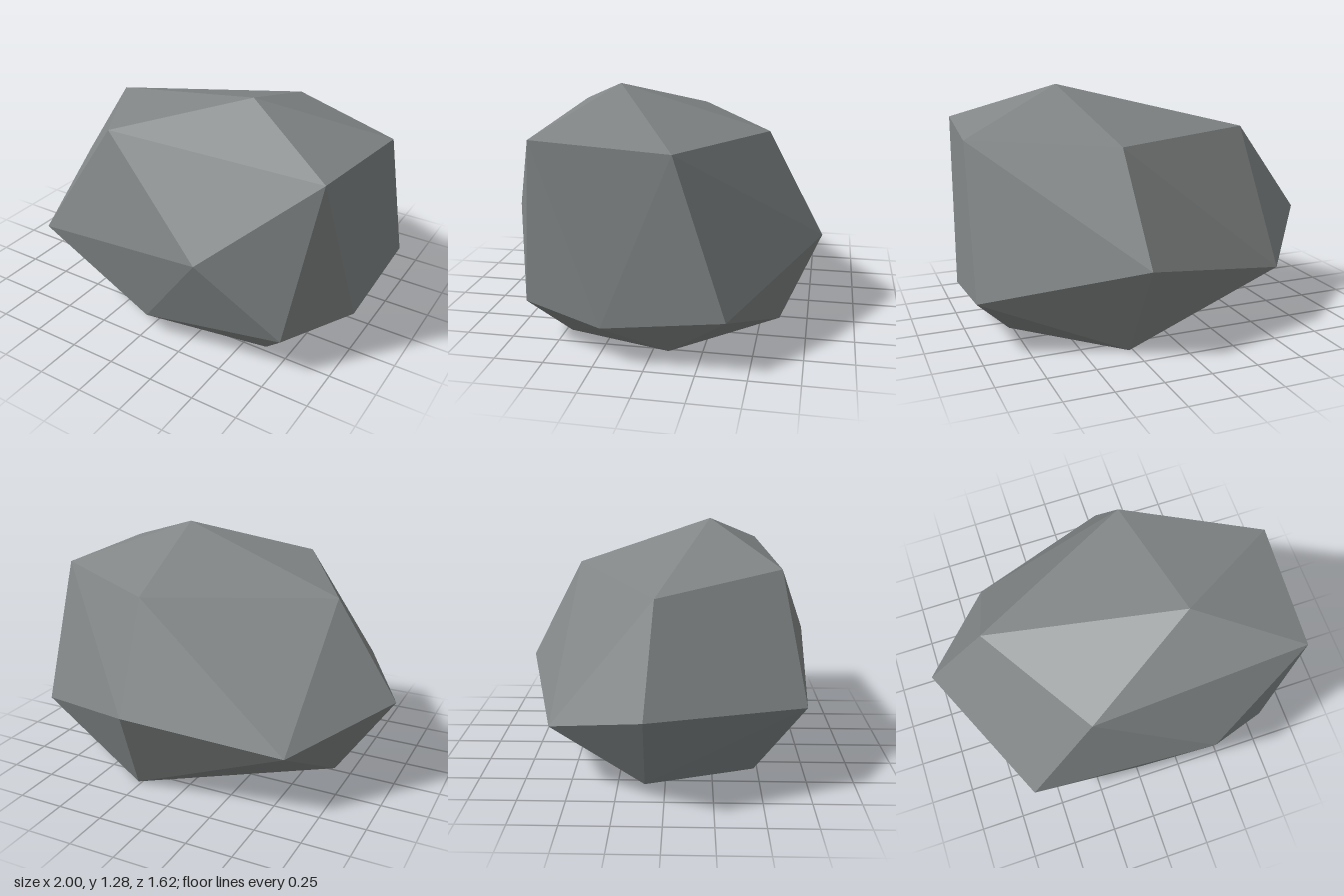
import * as THREE from 'three';
import { ConvexGeometry } from 'three/addons/geometries/ConvexGeometry.js';

export function createModel() {
  const group = new THREE.Group();
  group.name = 'boulder';

  const stone = new THREE.MeshStandardMaterial({ color: 0x828686 });
  stone.name = 'stone grey';
  stone.flatShading = true;

  // Corners of the faceted rock, ring by ring
  const corners = [
    // peak
    [0.38, 1.285, 0.24],
    // shoulder ring
    [-0.25, 1.1, 0.61], [0.93, 1.09, 0.55], [0.98, 1.06, -0.14], [0.27, 1.04, -0.52], [-0.65, 1.03, -0.05],
    // widest ring
    [-1, 0.525, -0.09], [-0.63, 0.47, 0.72], [0.39, 0.615, 0.81], [0.23, 0.48, -0.81], [-0.59, 0.34, -0.6],
    // lower ring
    [1, 0.28, -0.395], [0.99, 0.2, 0.21], [0.79, 0.225, 0.65], [0.02, 0.12, 0.71], [-0.69, 0.07, -0.1],
    // flat base
    [-0.34, 0, 0.48], [0.62, 0, 0.47], [0.77, 0, -0.08], [0.27, 0, -0.6],
  ].map((p) => new THREE.Vector3(...p));

  const rock = new THREE.Mesh(new ConvexGeometry(corners), stone);
  rock.name = 'rock';
  group.add(rock);
  return group;
}
